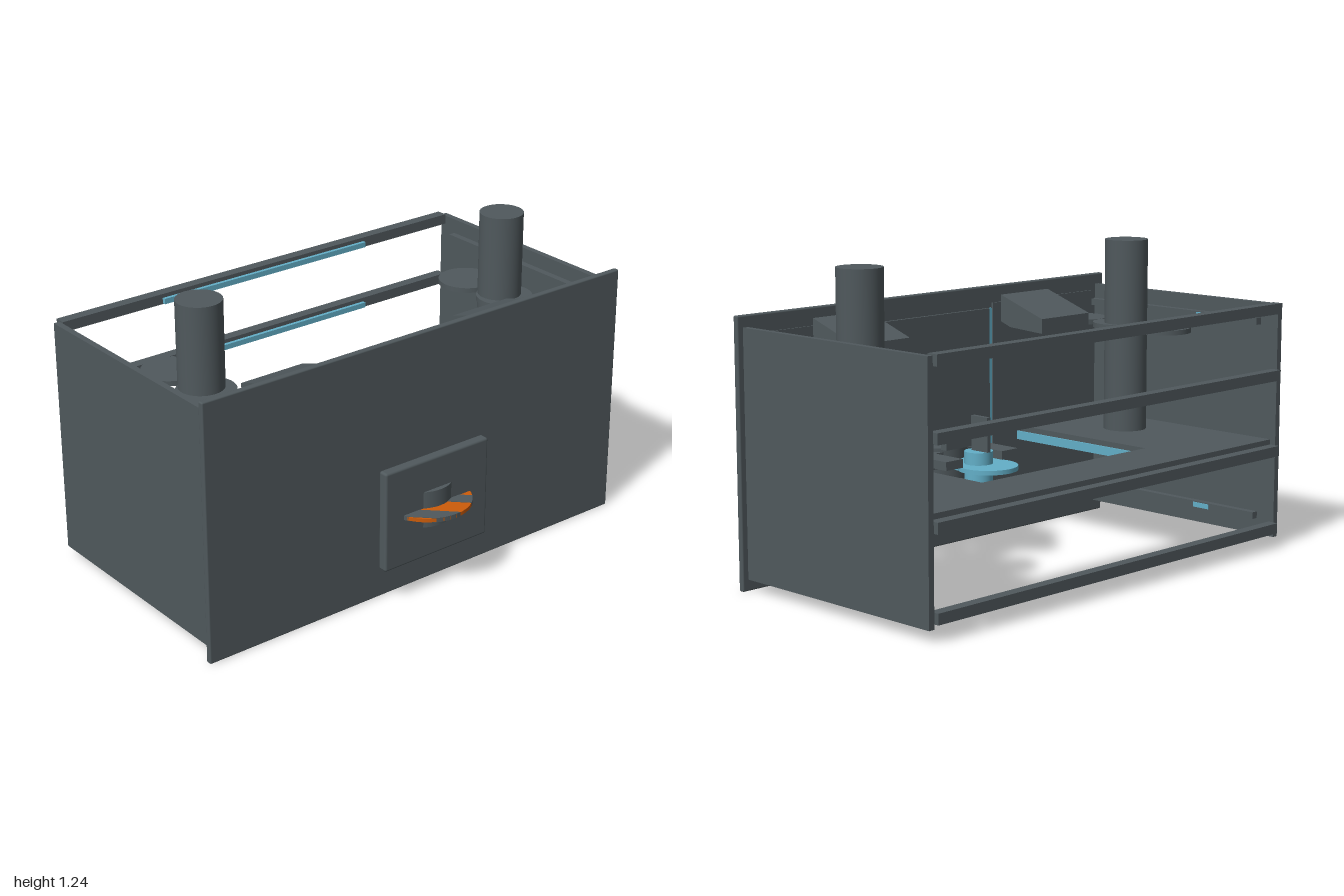
import * as THREE from 'three';
import { RoundedBoxGeometry } from 'three/addons/geometries/RoundedBoxGeometry.js';

const mat = (name, color) => {
  const m = new THREE.MeshStandardMaterial({ color });
  m.name = name;
  return m;
};

export function createModel() {
  const root = new THREE.Group();
  root.name = 'consoleUnit';
  const steel = mat('darkSteel', 0x50595d);
  const blue = mat('lightBlue', 0x63afc8);
  const orange = mat('warningOrange', 0xcc5c0a);

  const add = (name, geometry, material) => {
    const m = new THREE.Mesh(geometry, material);
    m.name = name;
    root.add(m);
    return m;
  };
  // Box given by its limits on each axis
  const box = (name, x0, x1, y0, y1, z0, z1, material = steel, r = 0) => {
    const s = [x1 - x0, y1 - y0, z1 - z0];
    const g = r ? new RoundedBoxGeometry(...s, 2, r) : new THREE.BoxGeometry(...s);
    const m = add(name, g, material);
    m.position.set((x0 + x1) / 2, (y0 + y1) / 2, (z0 + z1) / 2);
    return m;
  };
  // Box on both sides of the model
  const pair = (name, x0, x1, ...rest) => {
    box(name + 'Left', x0, x1, ...rest);
    box(name + 'Right', -x1, -x0, ...rest);
  };
  const cyl = (name, r, x, y0, y1, z, material = steel) => {
    const m = add(name, new THREE.CylinderGeometry(r, r, y1 - y0, 40), material);
    m.position.set(x, (y0 + y1) / 2, z);
    return m;
  };
  // Extrude a (z, y) outline along x, centred on x
  const prism = (name, outline, width, x) => {
    const shape = new THREE.Shape(outline.map(([z, y]) => new THREE.Vector2(-z, y)));
    const g = new THREE.ExtrudeGeometry(shape, { depth: width, bevelEnabled: false });
    g.translate(0, 0, -width / 2).rotateY(Math.PI / 2);
    add(name, g, steel).position.x = x;
  };

  // Case: front plate, side walls and rear rails
  box('frontPlate', -1, 1, 0.005, 1.05, 0.393, 0.418, steel, 0.006);
  pair('sideWall', 0.95, 0.975, 0.05, 1.005, -0.595, 0.393);
  for (const y of [0.09, 0.41, 0.72, 0.99]) {
    box('rearRail', -0.95, 0.95, y - 0.021, y + 0.021, -0.615, -0.57);
    if (y > 0.5) box('rearLightStrip', -0.5, 0.5, y - 0.017, y + 0.005, -0.57, -0.555, blue);
  }

  // Inner wall rails with small light patches
  for (const y of [0.13, 0.93]) {
    pair('wallRail', 0.922, 0.95, y - 0.014, y + 0.014, -0.51, 0.385);
    pair('wallLight', 0.917, 0.922, y - 0.01, y + 0.01, -0.28, -0.2, blue);
  }

  // U-shaped desk with light strips below its inner edges
  const desk = new THREE.Shape();
  [[-0.95, 0.57], [0.95, 0.57], [0.95, -0.39], [0.455, -0.39], [0.455, 0.33],
    [-0.455, 0.33], [-0.455, -0.39], [-0.95, -0.39]]
    .reverse().forEach(([x, y], i) => (i ? desk.lineTo(x, y) : desk.moveTo(x, y)));
  const deskGeo = new THREE.ExtrudeGeometry(desk, { depth: 0.022, bevelEnabled: false });
  deskGeo.rotateX(-Math.PI / 2).translate(0, 0.43, 0);
  add('desk', deskGeo, steel);
  pair('deskLight', 0.447, 0.475, 0.395, 0.43, -0.34, 0.37, blue);

  // Lining behind the front plate and upright light strips
  box('middleLining', -0.295, 0.295, 0.06, 0.96, 0.38, 0.393);
  pair('sideLining', 0.32, 0.92, 0.06, 0.98, 0.386, 0.393);
  pair('uprightLight', 0.297, 0.311, 0.06, 0.96, 0.382, 0.393, blue);

  // Columns, stools and slanted overhead boxes
  for (const s of [1, -1]) {
    cyl('column', 0.088, s * 0.73, 0.45, 1.24, 0.02);
    for (const z of [-0.18, 0.05, 0.28]) cyl('roundPlate', 0.114, s * 0.73, 0.875, 0.895, z);
    prism('overheadBox', [[0.385, 1.01], [0.15, 0.93], [0.15, 0.87], [0.33, 0.88], [0.385, 0.9]], 0.28, s * 0.505);
  }

  // Front hatch with screws on its back
  box('hatch', -0.252, 0.252, 0.158, 0.572, 0.46, 0.502, steel, 0.01);
  for (const x of [-0.195, 0.195]) for (const y of [0.203, 0.527]) {
    const screw = cyl('hatchScrew', 0.008, x, y - 0.01, y + 0.01, 0.453, orange);
    screw.rotation.x = Math.PI / 2;
  }

  // Hub and striped warning disc passing through the front
  cyl('hub', 0.13, 0, 0.29, 0.44, 0.392);
  const R = 0.178, discZ = 0.435;
  cyl('warningDisc', R, 0, 0.357, 0.372, discZ, orange);
  for (const d of [-0.14, 0, 0.14]) {
    const a = Math.acos((d + 0.03) / R), b = Math.acos((d - 0.03) / R);
    const pts = [];
    for (let i = 0; i <= 8; i++) pts.push(a + (b - a) * i / 8);
    for (let i = 8; i >= 0; i--) pts.push(-(a + (b - a) * i / 8));
    const stripe = new THREE.Shape(pts.map(t => {
      const q = t + Math.PI / 4;
      return new THREE.Vector2(Math.cos(q) * R, Math.sin(q) * R);
    }));
    const g = new THREE.ExtrudeGeometry(stripe, { depth: 0.018, bevelEnabled: false });
    g.rotateX(-Math.PI / 2).translate(0, 0.3555, discZ);
    add('discStripe', g, steel);
  }

  // Seat with arms, blue cushion, pivot and lever
  pair('seatArm', 0.11, 0.2, 0.39, 0.425, 0.125, 0.385);
  box('seatBack', -0.2, 0.2, 0.36, 0.425, 0.28, 0.386);
  box('seatPlate', -0.11, 0.11, 0.375, 0.39, 0.15, 0.29, blue);
  cyl('seatDisc', 0.12, 0, 0.372, 0.39, 0.095, blue);
  cyl('seatPivot', 0.057, 0, 0.32, 0.44, 0.148, blue);
  box('crossBar', -0.095, 0.095, 0.44, 0.475, 0.233, 0.264);
  box('uprightBlade', -0.009, 0.009, 0.44, 0.58, 0.09, 0.18);
  const lever = box('lever', -0.012, 0.012, 0.285, 0.31, 0.13, 0.385);
  lever.rotation.y = 0.2;
  prism('footBox', [[0.386, 0.26], [0.3, 0.24], [0.27, 0.18], [0.3, 0.15], [0.386, 0.15]], 0.26, 0);
  box('footLight', -0.06, 0.06, 0.146, 0.15, 0.315, 0.325, blue);

  return root;
}
